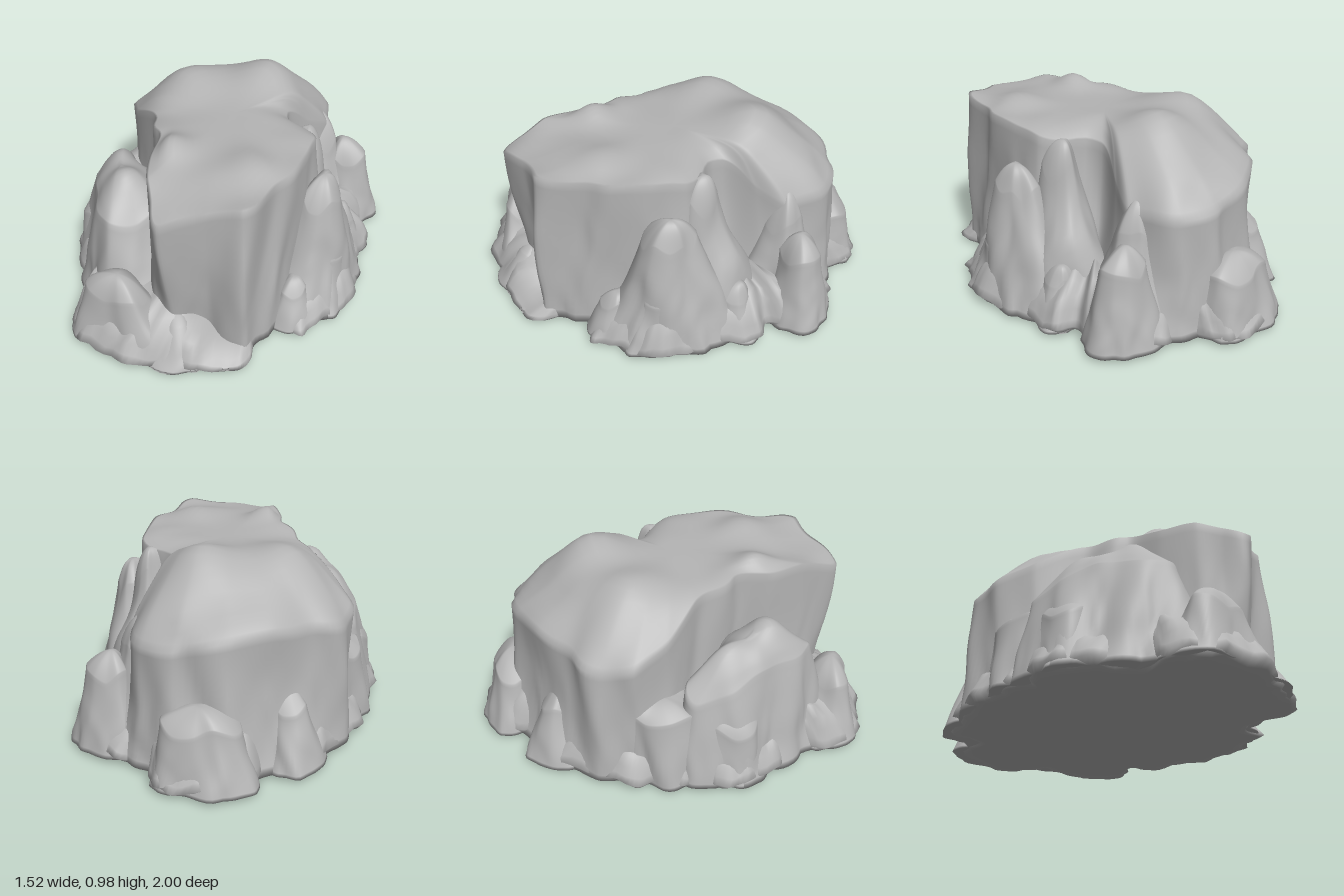
import * as THREE from 'three';

const stone = new THREE.MeshStandardMaterial({ color: 0xb4b4b4 });
stone.name = 'grey stone';

// smooth repeatable noise, about -1..1
function noise(x, y, z) {
  return (Math.sin(x * 1.7 + Math.sin(z * 1.3 + y * 0.7) * 1.6 + 0.4) +
    Math.sin(z * 1.9 + Math.sin(x * 1.1 - y * 0.9) * 1.7 + 2.1) +
    Math.sin(y * 1.5 + x * 0.8 - z * 0.9 + 1.3) * 0.6) / 2.6;
}

// closed loop through points, sampled evenly per control point
function loop(points, n, tension) {
  const curve = new THREE.CatmullRomCurve3(points, true, 'catmullrom', tension);
  return Array.from({ length: n }, (_, j) => curve.getPoint(j / n));
}

// skin of stacked rings, closed above and below
function skin(name, rings, top, bottom) {
  const n = rings[0].length, pos = [], idx = [];
  rings.flat().forEach(p => pos.push(p.x, p.y, p.z));
  for (let i = 0; i < rings.length - 1; i++)
    for (let j = 0; j < n; j++) {
      const a = i * n + j, b = i * n + (j + 1) % n;
      idx.push(a, a + n, b, b, a + n, b + n);
    }
  const t = rings.length * n, last = t - n;
  pos.push(top.x, top.y, top.z, bottom.x, bottom.y, bottom.z);
  for (let j = 0; j < n; j++) {
    const k = (j + 1) % n;
    idx.push(last + j, t, last + k, j, k, t + 1);
  }
  const g = new THREE.BufferGeometry();
  g.setAttribute('position', new THREE.Float32BufferAttribute(pos, 3));
  g.setIndex(idx);
  g.computeVertexNormals();
  const mesh = new THREE.Mesh(g, stone);
  mesh.name = name;
  return mesh;
}

// rock lobe: points are [footX, footZ, crownX, crownY, crownZ], running right, front, left, back;
// bumps on its top are [x, z, radius, height]
function lobe(name, points, peak, { flare = 1.5, dome = 2.2, rough = 0.03, tension = 0.4, n = 96, bumps = [] } = {}) {
  const foot = loop(points.map(p => new THREE.Vector3(p[0], 0.03, p[1])), n, tension);
  const crown = loop(points.map(p => new THREE.Vector3(p[2], p[3], p[4])), n, tension);
  const top = new THREE.Vector3(...peak);
  const rings = [];
  const wall = 18, cap = 14;
  for (let i = 0; i <= wall + cap; i++) {
    const t = Math.min(i / wall, 1), s = (Math.max(0, i - wall) / (cap + 1)) ** 1.3;
    rings.push(foot.map((f, j) => {
      const c = crown[j];
      const w = 1 - Math.pow(1 - t, flare);
      const p = new THREE.Vector3(THREE.MathUtils.lerp(f.x, c.x, w),
        THREE.MathUtils.lerp(f.y, c.y, t), THREE.MathUtils.lerp(f.z, c.z, w));
      p.x += (top.x - p.x) * s;
      p.z += (top.z - p.z) * s;
      p.y += (top.y - p.y) * (1 - Math.pow(1 - s, dome)) * (s > 0 ? 1 : 0);
      // upright fluting on the walls, fine scallops near the ground
      const d = rough * (noise(p.x * 10, p.y * 4, p.z * 10) + 0.4 * (1 - t) * noise(p.x * 26, p.y * 12, p.z * 26));
      const out = new THREE.Vector3(p.x - top.x, 0, p.z - top.z).normalize();
      p.addScaledVector(out, d * (1 - s));
      p.y += rough * 0.5 * t * (1 - s) * noise(p.x * 9 + 3, 1, p.z * 9);
      for (const [x, z, r, h] of bumps)
        p.y += t * Math.min(1, s * 5) * h * Math.exp(-((p.x - x) ** 2 + (p.z - z) ** 2) / (r * r));
      return p;
    }));
  }
  return skin(name, rings, new THREE.Vector3(top.x, rings.at(-1)[0].y, top.z), new THREE.Vector3(top.x, 0.03, top.z));
}

// sloping boulder: centre x, z, foot radii, height; top = crown radius share, dx/dz = lean of the summit
function boulder(name, x, z, rx, rz, h, { top = 0.5, shoulder = 0.75, dx = 0, dz = 0, flare = 1.25 } = {}) {
  const pts = [];
  for (let k = 0; k < 11; k++) {
    const a = k / 11 * Math.PI * 2, c = Math.cos(a), s = Math.sin(a);
    const r = 1 + 0.07 * Math.sin(k * 2.4 + x * 9);
    const y = h * (shoulder + 0.06 * Math.sin(k * 1.9 + z * 7));
    pts.push([x + c * rx * r, z + s * rz * r, x + dx + c * rx * top, y, z + dz + s * rz * top]);
  }
  return lobe(name, pts, [x + dx, h, z + dz], { flare, n: 72, rough: 0.028 });
}

// ragged footing under the whole rock, lowest beside the front block
function footing() {
  const outline = [[0.76, 0.08], [0.7, 0.22], [0.64, 0.39], [0.53, 0.4], [0.46, 0.5], [0.5, 0.65], [0.48, 0.74],
    [0.3, 0.86], [0.15, 0.92], [0, 0.99], [-0.28, 0.97], [-0.42, 0.83], [-0.42, 0.66], [-0.6, 0.55], [-0.71, 0.4],
    [-0.74, 0.27], [-0.69, 0.2], [-0.74, 0.1], [-0.73, 0], [-0.76, -0.15], [-0.69, -0.33], [-0.61, -0.6],
    [-0.42, -0.67], [-0.4, -0.85], [-0.2, -0.98], [-0.05, -1], [0.05, -0.95], [0.13, -0.8], [0.27, -0.83],
    [0.45, -0.77], [0.56, -0.67], [0.53, -0.5], [0.64, -0.43], [0.65, -0.2], [0.72, -0.1]];
  const base = loop(outline.map(([x, z]) => new THREE.Vector3(x, 0, z)), 245, 0.4);
  const levels = [[0.9, 0.02], [0.96, 0.025], [0.995, 0.055], [0.975, 0.09], [0.945, 0.14], [0.91, 0.19],
    [0.85, 0.235], [0.76, 0.27], [0.64, 0.3]];
  const rings = levels.map(([s, y], i) => base.map(p => {
    const jag = (i > 0 ? 0.016 : 0.004) * noise(p.x * 30, i * 0.6, p.z * 30);
    const lift = i ? (0.012 + 0.004 * i) * noise(p.x * 15, i * 0.5, p.z * 15) : 0;
    const low = 1 - 0.6 * THREE.MathUtils.smoothstep(p.x, 0.12, 0.48) * THREE.MathUtils.smoothstep(p.z, 0.2, 0.45);
    return new THREE.Vector3(p.x * (s + jag), 0.02 + (y - 0.02 + lift) * low, p.z * (s + jag));
  }));
  return skin('footing', rings, new THREE.Vector3(0, 0.3, 0), new THREE.Vector3(0, 0.02, 0));
}

export function createModel() {
  const rock = new THREE.Group();
  rock.name = 'rockFormation';
  rock.add(footing());

  // main mass: flat front block with an overhanging prow, rising into rounded rear humps
  rock.add(lobe('mainMass', [
    [0.52, 0.1, 0.475, 0.88, 0.1], [0.49, 0.38, 0.47, 0.89, 0.38], [0.47, 0.63, 0.435, 0.89, 0.62],
    [0.29, 0.64, 0.28, 0.87, 0.69], [0.14, 0.7, 0.12, 0.81, 0.82], [0.03, 0.71, 0.03, 0.85, 0.73],
    [-0.06, 0.67, -0.05, 0.89, 0.64], [-0.16, 0.5, -0.14, 0.89, 0.48], [-0.23, 0.32, -0.21, 0.89, 0.3],
    [-0.42, 0.17, -0.37, 0.85, 0.14], [-0.62, 0.06, -0.55, 0.74, 0.02], [-0.69, -0.1, -0.66, 0.66, -0.12],
    [-0.7, -0.3, -0.67, 0.64, -0.28], [-0.62, -0.5, -0.57, 0.68, -0.46], [-0.48, -0.68, -0.42, 0.7, -0.6],
    [-0.28, -0.82, -0.25, 0.68, -0.74], [-0.03, -0.88, -0.03, 0.64, -0.83], [0.18, -0.84, 0.15, 0.62, -0.77],
    [0.4, -0.68, 0.29, 0.62, -0.58], [0.4, -0.5, 0.25, 0.7, -0.42], [0.36, -0.36, 0.2, 0.82, -0.24],
    [0.55, -0.16, 0.44, 0.86, -0.07]
  ], [0.02, 0.9, 0.0], {
    tension: 0.3, rough: 0.026, flare: 1.9, dome: 3.8, n: 198,
    bumps: [[-0.37, -0.19, 0.17, 0.085], [-0.02, -0.4, 0.18, 0.1], [0.3, 0.32, 0.12, 0.035], [-0.08, 0.4, 0.1, 0.06]]
  }));

  // double-headed shoulder beside the prow
  rock.add(lobe('frontShoulder', [
    [0.04, 0.55, -0.12, 0.6, 0.45], [0.02, 0.76, -0.15, 0.55, 0.6], [-0.2, 0.84, -0.26, 0.57, 0.68],
    [-0.4, 0.76, -0.38, 0.57, 0.6], [-0.6, 0.54, -0.5, 0.58, 0.46], [-0.71, 0.38, -0.59, 0.5, 0.32],
    [-0.72, 0.16, -0.64, 0.46, 0.15], [-0.6, 0.03, -0.56, 0.54, 0.1], [-0.3, 0.2, -0.32, 0.62, 0.28]
  ], [-0.38, 0.67, 0.4], {
    rough: 0.032, flare: 1.1, bumps: [[-0.29, 0.48, 0.1, 0.08], [-0.48, 0.28, 0.1, 0.04]]
  }));

  // buttresses and boulders: x, z, radius x, radius z, height
  const rocks = [
    ['sideButtress', 0.48, 0.0, 0.25, 0.38, 0.73, { top: 0.36, dx: 0.05, shoulder: 0.82, flare: 1.15 }],
    ['sideFlank', 0.6, 0.07, 0.13, 0.2, 0.4],
    ['sideToe', 0.52, 0.26, 0.14, 0.15, 0.27],
    ['rearRidge', 0.38, -0.22, 0.25, 0.27, 0.86, { top: 0.34, dx: -0.02, dz: 0.07, shoulder: 0.84, flare: 1.15 }],
    ['rearSideBoulder', 0.5, -0.33, 0.16, 0.15, 0.32],
    ['rearSlope', 0.25, -0.56, 0.28, 0.25, 0.68, { top: 0.4, dx: -0.02 }],
    ['rearCornerBoulder', 0.36, -0.63, 0.21, 0.2, 0.51, { shoulder: 0.78 }],
    ['backBoulder', -0.14, -0.79, 0.28, 0.2, 0.4, { top: 0.62, dz: -0.02, shoulder: 0.78 }],
    ['backLeftBoulder', -0.45, -0.5, 0.2, 0.2, 0.42, { top: 0.6 }],
    ['leftBoulder', -0.56, -0.02, 0.17, 0.27, 0.45, { top: 0.76, shoulder: 0.86 }],
    ['leftToe', -0.55, 0.3, 0.17, 0.22, 0.42, { top: 0.65 }],
    ['frontBoulder', -0.13, 0.77, 0.31, 0.2, 0.42, { top: 0.5, dz: 0.04, shoulder: 0.76, flare: 1.1 }],
    ['frontToe', 0.14, 0.7, 0.3, 0.2, 0.25, { dx: -0.05, flare: 1 }]
  ];
  rocks.forEach(r => rock.add(boulder(...r)));
  return rock;
}
